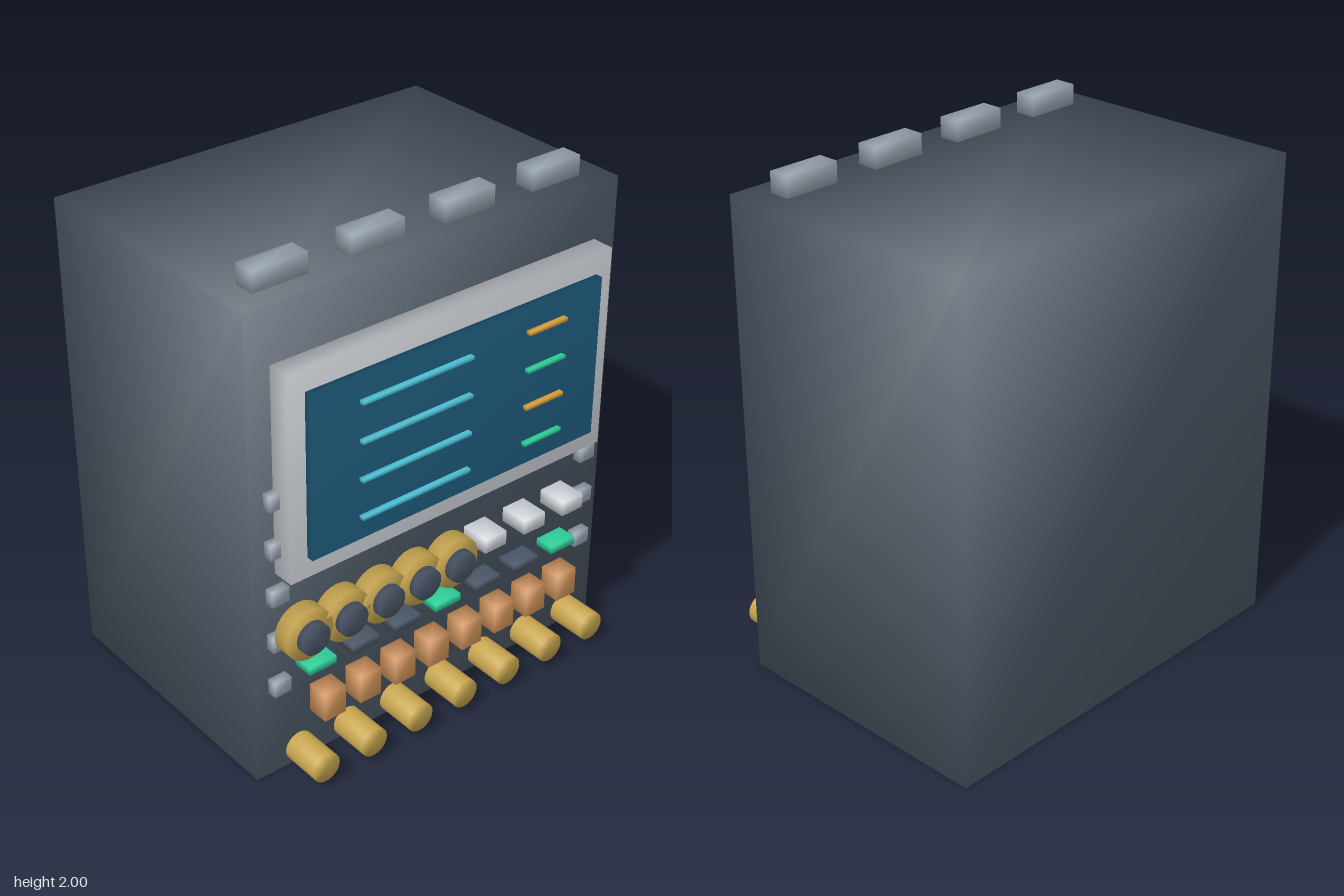
import * as THREE from 'three';
import { mergeVertices } from 'three/addons/utils/BufferGeometryUtils.js';

const mat = (name, color) => {
  const m = new THREE.MeshStandardMaterial({ color });
  m.name = name;
  return m;
};

// Share corner vertices so shading runs softly over the edges
function weld(geometry) {
  geometry.deleteAttribute('normal');
  geometry.deleteAttribute('uv');
  const g = mergeVertices(geometry, 1e-4);
  g.computeVertexNormals();
  return g;
}

export function createModel() {
  const model = new THREE.Group();
  model.name = 'controlConsole';

  const slate = mat('slate cabinet', 0x4a5663);
  const silver = mat('light silver', 0xd3d7dd);
  const blue = mat('screen blue', 0x1f5f80);
  const cyan = mat('cyan', 0x4fc3d9);
  const green = mat('green', 0x2fd09a);
  const amber = mat('amber', 0xdba23a);
  const gold = mat('gold', 0xc8a650);
  const copper = mat('copper', 0xd2935a);
  const steel = mat('steel grey', 0x98a3b0);
  const dark = mat('dark slate', 0x4b5768);

  const add = (name, geometry, material, x, y, z) => {
    const mesh = new THREE.Mesh(weld(geometry), material);
    mesh.name = name;
    mesh.position.set(x, y, z);
    model.add(mesh);
  };
  // Box and forward-facing cylinder, both spanning z0 to z1
  const box = (name, m, x, y, w, h, z0, z1) =>
    add(name, new THREE.BoxGeometry(w, h, z1 - z0), m, x, y, (z0 + z1) / 2);
  const disc = (name, m, x, y, r, z0, z1) =>
    add(name, new THREE.CylinderGeometry(r, r, z1 - z0, 24).rotateX(Math.PI / 2), m, x, y, (z0 + z1) / 2);

  const front = 0.465;

  // Cabinet, bezel and screen
  box('cabinet', slate, 0, 0.96, 1.67, 1.92, -0.65, front);
  box('screenBezel', silver, 0, 1.29, 1.466, 0.82, front, 0.556);
  box('screen', blue, 0, 1.29, 1.322, 0.652, 0.556, 0.585);

  // Readout lines on the screen
  for (let i = 0; i < 4; i++) {
    const y = 1.52 - i * 0.1525;
    box('longReadout', cyan, -0.215, y, 0.49, 0.015, 0.59, 0.61);
    box('shortReadout', i % 2 ? green : amber, 0.383, y, 0.18, 0.015, 0.59, 0.61);
  }

  // Blocks along the top edge
  for (let i = 0; i < 4; i++) box('topBlock', steel, -0.614 + i * 0.4093, 1.96, 0.228, 0.08, 0.288, 0.374);

  // Side brackets
  for (const side of [-1, 1])
    for (let i = 0; i < 5; i++) box('sideBracket', steel, side * 0.738, 1.195 - i * 0.197, 0.074, 0.062, front, 0.504);

  // Dials with dark caps
  for (let i = 0; i < 5; i++) {
    const x = -0.678 + i * 0.1695;
    disc('dial', gold, x, 0.66, 0.103, 0.52, 0.586);
    disc('dialCap', dark, x, 0.66, 0.063, 0.594, 0.622);
  }

  // Switches beside the dials
  for (let i = 0; i < 3; i++) box('switch', silver, 0.194 + i * 0.197, 0.667, 0.104, 0.06, front, 0.586);

  // Row of keys, every third one lit
  for (let i = 0; i < 7; i++)
    box(i % 3 ? 'key' : 'litKey', i % 3 ? dark : green, -0.591 + i * 0.197, 0.457, 0.122, 0.032, front, 0.547);

  // Copper blocks
  for (let i = 0; i < 8; i++) box('copperBlock', copper, -0.575 + i * 0.164, 0.307, 0.096, 0.118, 0.508, 0.596);

  // Front plugs
  for (let i = 0; i < 7; i++) disc('plug', gold, -0.664 + i * 0.2213, 0.094, 0.06, 0.492, 0.655);

  return model;
}
